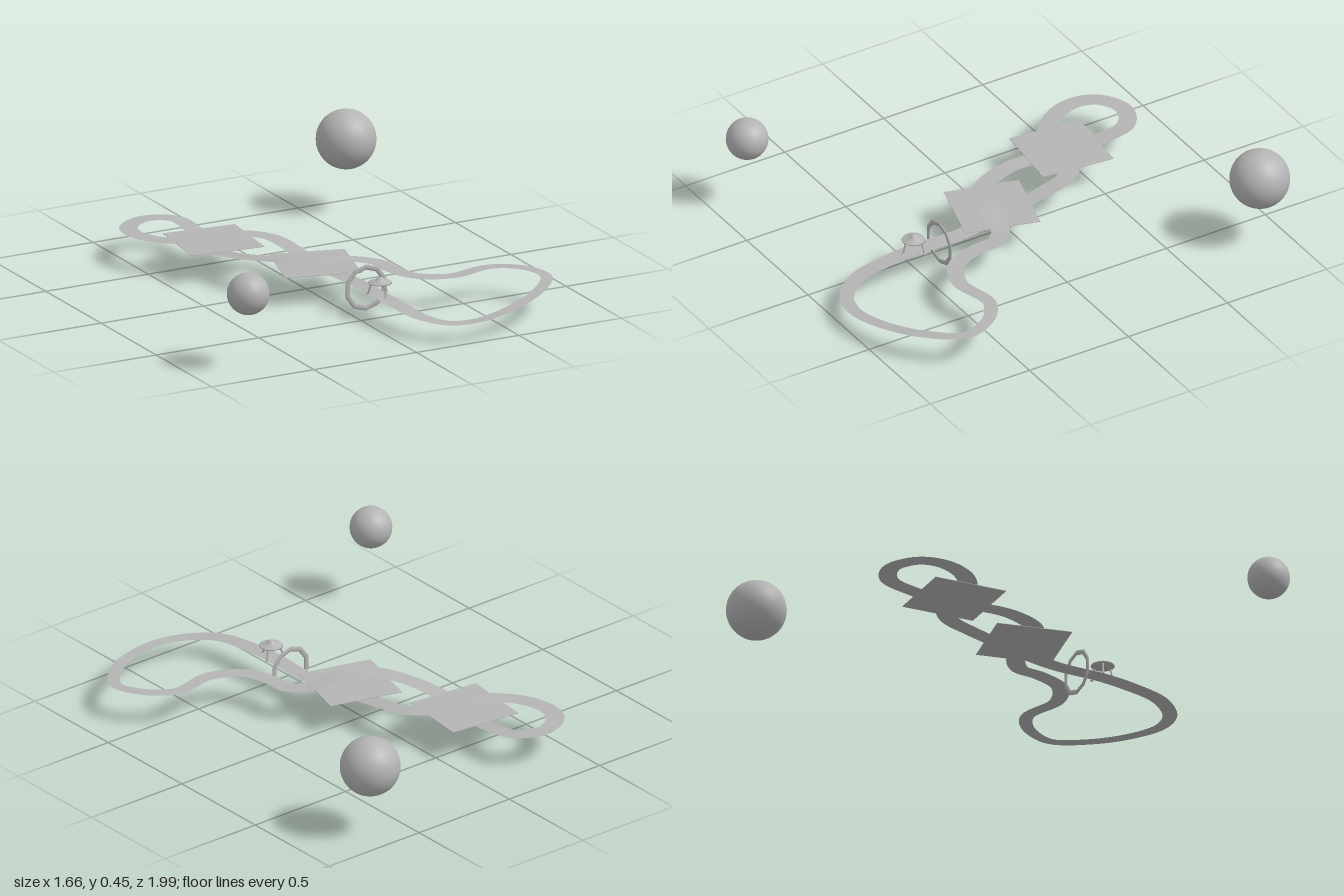
import * as THREE from 'three';

const grey = new THREE.MeshStandardMaterial({ color: 0xb4b4b4, side: THREE.DoubleSide });
grey.name = 'plain grey';

// Closed circuit: x, height, z, width
const COURSE = [
  [0.08, 0.116, 0.51, 0.082], [0.09, 0.112, 0.66, 0.08], [0.115, 0.1, 0.82, 0.075],
  [0.195, 0.088, 0.925, 0.064], [0.325, 0.092, 0.963, 0.058], [0.51, 0.11, 0.925, 0.056],
  [0.69, 0.13, 0.825, 0.055], [0.798, 0.142, 0.69, 0.052], [0.755, 0.148, 0.56, 0.056],
  [0.635, 0.146, 0.478, 0.06], [0.44, 0.143, 0.505, 0.068], [0.305, 0.143, 0.435, 0.074],
  [0.255, 0.144, 0.305, 0.078], [0.245, 0.146, 0.2, 0.08], [0.17, 0.154, 0.135, 0.082],
  [0.03, 0.174, 0.122, 0.084], [-0.1, 0.17, 0.06, 0.085], [-0.195, 0.152, -0.09, 0.086],
  [-0.24, 0.13, -0.24, 0.086], [-0.235, 0.11, -0.42, 0.084], [-0.215, 0.132, -0.62, 0.082],
  [-0.235, 0.145, -0.75, 0.08], [-0.345, 0.148, -0.805, 0.078], [-0.462, 0.148, -0.745, 0.08],
  [-0.492, 0.148, -0.64, 0.082], [-0.435, 0.151, -0.5, 0.084], [-0.285, 0.158, -0.395, 0.084],
  [-0.115, 0.162, -0.395, 0.084], [-0.01, 0.155, -0.31, 0.083], [0.02, 0.143, -0.185, 0.082],
  [0.03, 0.125, -0.05, 0.082], [0.05, 0.113, 0.105, 0.082], [0.08, 0.113, 0.29, 0.082],
];

function add(parent, name, geometry, x = 0, y = 0, z = 0) {
  const mesh = new THREE.Mesh(geometry, grey);
  mesh.name = name;
  mesh.position.set(x, y, z);
  parent.add(mesh);
  return mesh;
}

// Level ribbon swept along the circuit
function trackGeometry() {
  const n = COURSE.length, steps = n * 8;
  const curve = new THREE.CatmullRomCurve3(
    COURSE.map(([x, y, z]) => new THREE.Vector3(x, y, z)), true, 'centripetal');
  const positions = [], index = [];
  for (let i = 0; i <= steps; i++) {
    const t = (i % steps) / steps, k = Math.floor(t * n);
    const half = THREE.MathUtils.lerp(COURSE[k][3], COURSE[(k + 1) % n][3], t * n - k) / 2;
    const p = curve.getPoint(t), d = curve.getTangent(t);
    const side = new THREE.Vector3(d.z, 0, -d.x).normalize().multiplyScalar(half);
    positions.push(p.x + side.x, p.y, p.z + side.z, p.x - side.x, p.y, p.z - side.z);
    if (i < steps) {
      const a = i * 2;
      index.push(a, a + 2, a + 1, a + 1, a + 2, a + 3);
    }
  }
  const g = new THREE.BufferGeometry();
  g.setAttribute('position', new THREE.Float32BufferAttribute(positions, 3));
  g.setIndex(index);
  g.computeVertexNormals();
  return g;
}

// Small saucer-shaped craft on three splayed legs
function createCraft() {
  const craft = new THREE.Group();
  craft.name = 'craft';
  const profile = [[0, 0.162], [0.025, 0.164], [0.052, 0.171], [0.05, 0.175], [0.022, 0.18],
    [0.017, 0.189], [0.008, 0.195], [0, 0.196]].map(([r, y]) => new THREE.Vector2(r, y));
  add(craft, 'saucer', new THREE.LatheGeometry(profile, 24));
  for (let i = 0; i < 3; i++) {
    const a = i * Math.PI * 2 / 3;
    const at = (r, y) => new THREE.Vector3(Math.sin(a) * r, y, Math.cos(a) * r);
    const leg = new THREE.LineCurve3(at(0.038, 0.168), at(0.053, 0.117));
    add(craft, 'leg', new THREE.TubeGeometry(leg, 1, 0.004, 6));
    add(craft, 'foot', new THREE.CylinderGeometry(0.004, 0.008, 0.005, 8),
      Math.sin(a) * 0.054, 0.117, Math.cos(a) * 0.054);
  }
  craft.position.set(0.083, 0, 0.518);
  return craft;
}

export function createModel() {
  const model = new THREE.Group();
  model.name = 'floating race track';

  add(model, 'track', trackGeometry());

  // Square decks between the crossing strands
  for (const [x, z, turn] of [[0.005, 0.074, -0.272], [-0.225, -0.418, -0.105]]) {
    const deck = add(model, 'crossingDeck', new THREE.BoxGeometry(0.335, 0.002, 0.335), x, 0.142, z);
    deck.rotation.y = turn;
  }

  // Upright hoop over the track
  const hoop = add(model, 'hoop', new THREE.TorusGeometry(0.093, 0.012, 6, 10), 0.083, 0.112, 0.388);
  hoop.rotation.z = Math.PI / 2;
  hoop.scale.z = 0.4;

  model.add(createCraft());

  // Floating globes
  add(model, 'largeGlobe', new THREE.SphereGeometry(0.131, 32, 24), 0.665, 0.331, -0.87);
  add(model, 'smallGlobe', new THREE.SphereGeometry(0.092, 32, 24), -0.74, 0.344, 0.85);
  return model;
}
